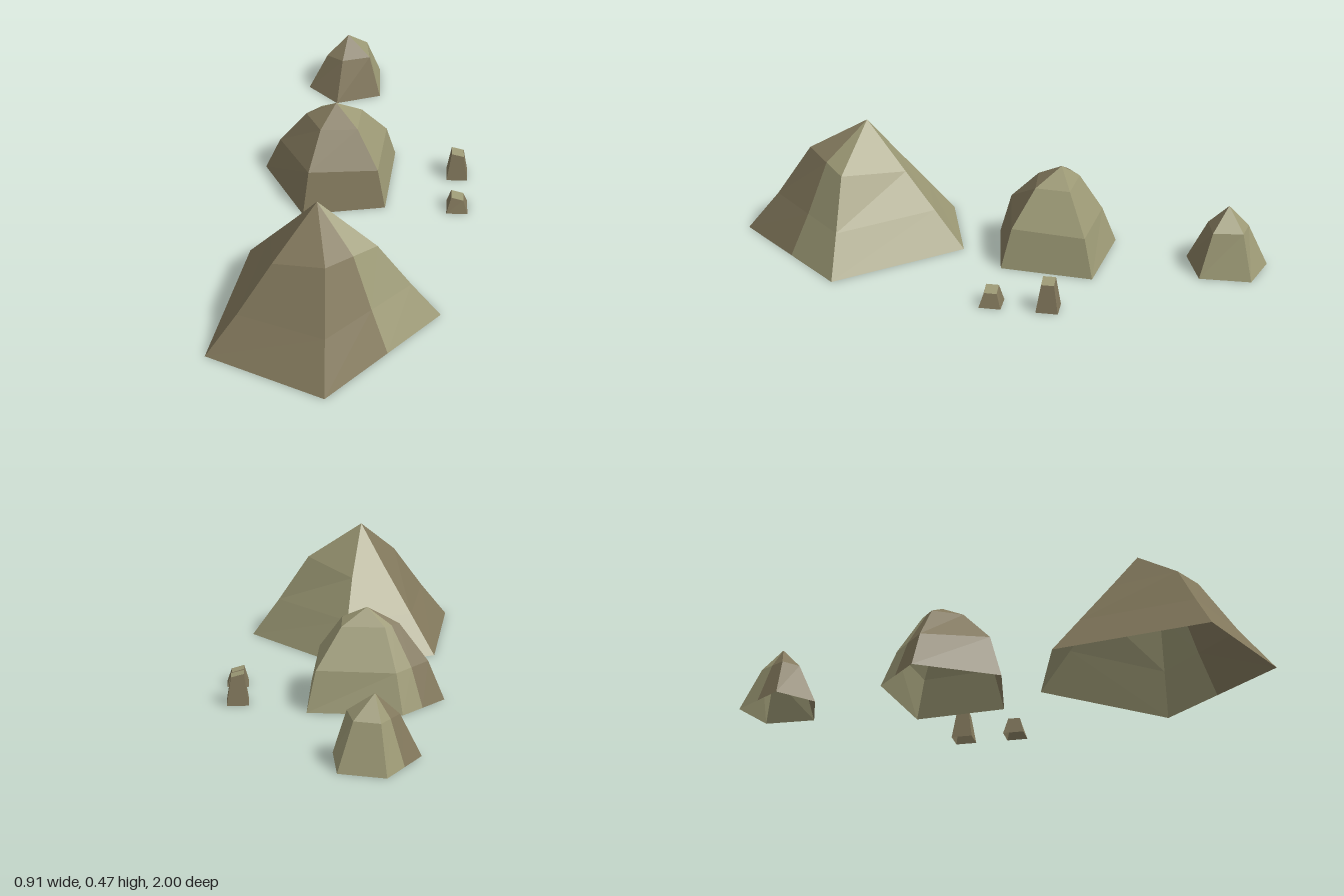
import * as THREE from 'three';

const brown = new THREE.MeshStandardMaterial({ color: 0x82785c, flatShading: true, side: THREE.DoubleSide });
brown.name = 'brown rock';
const olive = new THREE.MeshStandardMaterial({ color: 0x9c9975, flatShading: true, side: THREE.DoubleSide });
olive.name = 'olive rock';

const lerp = (a, b, t) => a.map((v, i) => v + (b[i] - v) * t);

// Five-sided rock, open underneath. Each ridge lists its points from the base
// upwards; each side is 'b', 'o', or a pair that changes colour at `split`.
function rock(name, apex, ridges, sides, split) {
  const faces = { b: [], o: [] };
  const strip = (key, left, right) => {
    const out = faces[key];
    for (let k = 0; k < left.length - 1; k++) {
      out.push(left[k], right[k], right[k + 1], left[k], right[k + 1], left[k + 1]);
    }
    out.push(left.at(-1), right.at(-1), apex);
  };
  ridges.forEach((left, i) => {
    const right = ridges[(i + 1) % ridges.length];
    const side = sides[i];
    if (side.length === 1) {
      strip(side, left, right);
    } else {
      const middle = left.map((p, k) => lerp(p, right[k], split));
      strip(side[0], left, middle);
      strip(side[1], middle, right);
    }
  });
  const group = new THREE.Group();
  group.name = name;
  for (const [key, material, label] of [['b', brown, 'BrownSides'], ['o', olive, 'OliveSides']]) {
    const geometry = new THREE.BufferGeometry();
    geometry.setAttribute('position', new THREE.Float32BufferAttribute(faces[key].flat(), 3));
    geometry.computeVertexNormals();
    const mesh = new THREE.Mesh(geometry, material);
    mesh.name = name + label;
    group.add(mesh);
  }
  return group;
}

// Small tapered stone with a sloping olive top and no underside
function stone(name, z, leftHeight, rightHeight) {
  const geometry = new THREE.BoxGeometry(0.08, 1, 0.08);
  const p = geometry.attributes.position;
  for (let i = 0; i < p.count; i++) {
    const top = p.getY(i) > 0;
    const taper = top ? 0.58 : 1;
    const height = p.getX(i) < 0 ? leftHeight : rightHeight;
    p.setXYZ(i, p.getX(i) * taper, top ? height : 0, p.getZ(i) * taper);
  }
  geometry.groups = geometry.groups.filter((g) => g.materialIndex !== 3);
  geometry.computeVertexNormals();
  const mesh = new THREE.Mesh(geometry, [brown, brown, olive, brown, brown, brown]);
  mesh.name = name;
  mesh.position.set(0.414, 0, z);
  return mesh;
}

export function createModel() {
  const model = new THREE.Group();
  model.name = 'rockGroup';

  model.add(rock('largeRock', [-0.08, 0.467, 0.52], [
    [[-0.455, 0, 0.81], [-0.345, 0.145, 0.75], [-0.225, 0.32, 0.68]],
    [[-0.03, 0, 0.995], [-0.035, 0.155, 0.87], [-0.04, 0.355, 0.735]],
    [[0.357, 0, 0.56], [0.25, 0.145, 0.565], [0.13, 0.32, 0.57]],
    [[0.01, 0, 0.135], [-0.01, 0.145, 0.25], [-0.035, 0.285, 0.365]],
    [[-0.35, 0, 0.245], [-0.265, 0.145, 0.33], [-0.165, 0.315, 0.43]],
  ], ['b', 'bo', 'o', 'o', 'b'], 0.53));

  model.add(rock('mediumRock', [-0.055, 0.345, -0.225], [
    [[-0.17, 0, 0.027], [-0.15, 0.165, -0.02], [-0.11, 0.285, -0.13]],
    [[0.14, 0, -0.03], [0.11, 0.15, -0.065], [0.03, 0.285, -0.14]],
    [[0.17, 0, -0.375], [0.135, 0.145, -0.34], [0.04, 0.285, -0.27]],
    [[-0.17, 0, -0.422], [-0.15, 0.14, -0.37], [-0.115, 0.285, -0.285]],
    [[-0.335, 0, -0.262], [-0.275, 0.145, -0.25], [-0.17, 0.285, -0.235]],
  ], ['b', 'o', 'o', 'ob', 'b'], 0.47));

  model.add(rock('smallRock', [-0.04, 0.24, -0.85], [
    [[-0.08, 0, -0.70], [-0.06, 0.16, -0.775]],
    [[0.095, 0, -0.76], [0.05, 0.165, -0.80]],
    [[0.09, 0, -0.95], [0.035, 0.165, -0.91]],
    [[-0.07, 0, -1.0], [-0.055, 0.16, -0.925]],
    [[-0.2, 0, -0.81], [-0.125, 0.155, -0.82]],
  ], ['b', 'o', 'o', 'ob', 'b'], 0.5));

  model.add(stone('tallStone', -0.25, 0.115, 0.103));
  model.add(stone('shortStone', -0.045, 0.065, 0.052));
  return model;
}
